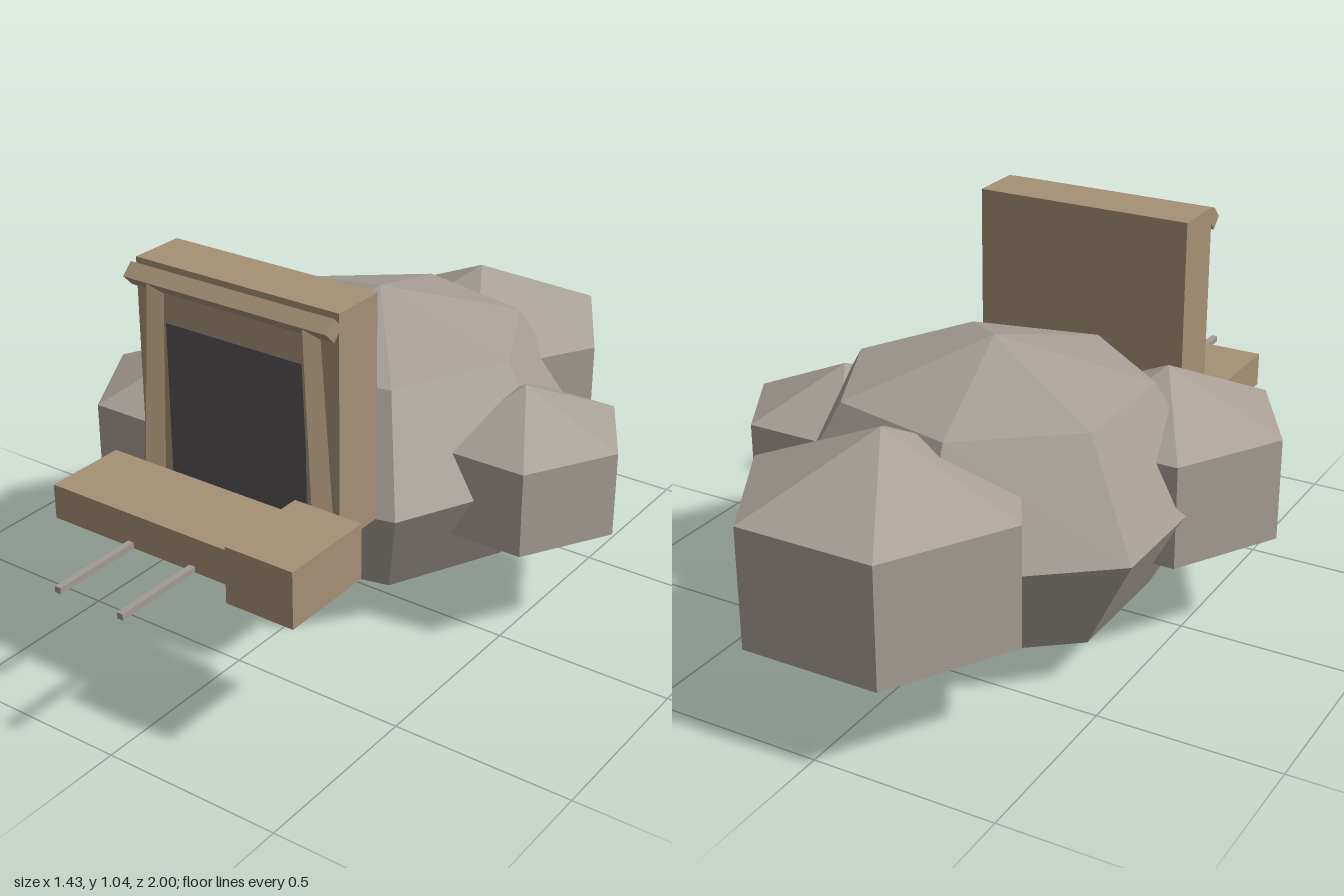
import * as THREE from 'three';

const material = (name, color) => {
  const m = new THREE.MeshStandardMaterial({ color });
  m.name = name;
  return m;
};

export function createModel() {
  const stone = material('stone', 0xa79f96);
  const timber = material('timber', 0xa59075);
  const shadow = material('tunnel dark', 0x565253);
  const iron = material('iron', 0xa09a93);
  const model = new THREE.Group();
  model.name = 'mineEntrance';

  const add = (name, geometry, mat, x, y, z) => {
    const flat = geometry.index ? geometry.toNonIndexed() : geometry;
    flat.computeVertexNormals(); // faceted look
    const mesh = new THREE.Mesh(flat, mat);
    mesh.name = name;
    mesh.position.set(x, y, z);
    model.add(mesh);
    return mesh;
  };

  // Box given by its min and max on each axis
  const box = (name, mat, [x0, x1], [y0, y1], [z0, z1]) =>
    add(name, new THREE.BoxGeometry(x1 - x0, y1 - y0, z1 - z0), mat,
      (x0 + x1) / 2, (y0 + y1) / 2, (z0 + z1) / 2);

  // Squashed low-poly boulders
  const boulder = (name, x, z, radius, height, sides, rings) => {
    const g = new THREE.SphereGeometry(1, sides, rings);
    g.rotateY(Math.PI);
    g.scale(radius, height, radius);
    add(name, g, stone, x, 0.414, z);
  };
  boulder('mainBoulder', -0.037, -0.2, 0.585, 0.413, 7, 4);
  boulder('leftBoulder', 0.432, -0.2, 0.325, 0.24, 6, 3);
  boulder('rightBoulder', -0.383, 0.115, 0.381, 0.286, 6, 3);
  boulder('backBoulder', 0.003, -0.667, 0.4445, 0.33, 6, 3);

  // Entrance block with dark opening
  const cx = -0.0365;
  box('entranceBlock', timber, [-0.351, 0.278], [0.417, 1.041], [0.272, 0.43]);
  box('tunnelOpening', shadow, [-0.255, 0.182], [0.42, 0.885], [0.43, 0.437]);

  // Leaning, tapered four-sided posts
  for (const side of [-1, 1]) {
    const post = new THREE.CylinderGeometry(0.03, 0.038, 0.585, 4);
    add(side > 0 ? 'leftPost' : 'rightPost', post, timber, cx + side * 0.258, 0.706, 0.447)
      .rotation.z = side * 0.058;
  }

  // Lintel, a square beam standing on edge
  const lintel = new THREE.CylinderGeometry(0.031, 0.031, 0.629, 4);
  lintel.rotateZ(Math.PI / 2);
  add('lintel', lintel, timber, cx, 1.004, 0.45);

  // Loading platform and crate
  box('platform', timber, [-0.39, 0.315], [0.417, 0.513], [0.507, 0.74]);
  box('crate', timber, [0.217, 0.414], [0.416, 0.57], [0.53, 0.802]);

  // Rails
  for (const x of [-0.136, 0.061]) {
    box('rail', iron, [x - 0.009, x + 0.009], [0.416, 0.433], [0.41, 1]);
  }

  return model;
}
